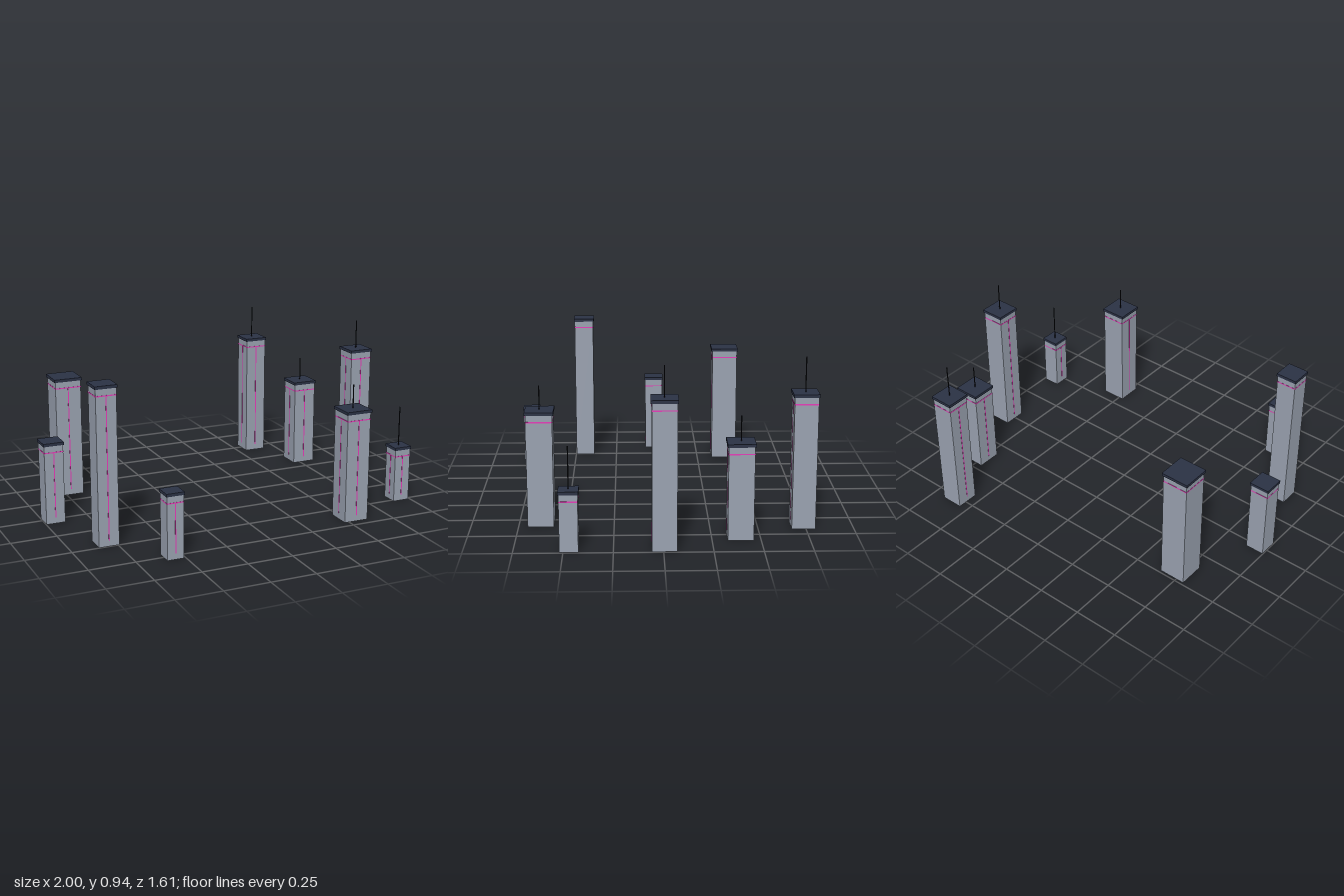
import * as THREE from 'three';

// x, z, cap width, body height, antenna tip (0 = none)
const TOWERS = [
  [0.612, -0.737, 0.134, 0.705, 0.905],
  [0.774, -0.396, 0.144, 0.492, 0.64],
  [0.929, -0.005, 0.137, 0.758, 0.935],
  [0.942, 0.471, 0.103, 0.298, 0.535],
  [0.543, 0.633, 0.149, 0.602, 0.745],
  [-0.555, 0.755, 0.098, 0.337, 0],
  [-0.798, 0.442, 0.12, 0.838, 0],
  [-0.945, 0.015, 0.114, 0.436, 0],
  [-0.723, -0.412, 0.159, 0.668, 0],
];

const CAP = 0.016;        // roof slab thickness
const BAND_DROP = 0.037;  // light band below the body top
const STRIP_BASE = 0.033;

export function createModel() {
  const paint = (color) => new THREE.MeshStandardMaterial({ color });
  const wall = paint(0x9aa2b0), roof = paint(0x2b3245);
  const neon = paint(0xe63cb8), dark = paint(0x15171c);

  const model = new THREE.Group();
  model.name = 'towerRing';

  for (const [x, z, capWidth, height, tip] of TOWERS) {
    const tower = new THREE.Group();
    tower.name = 'tower';
    tower.position.set(x, 0, z);
    model.add(tower);

    const add = (name, geometry, material, px, py, pz) => {
      const mesh = new THREE.Mesh(geometry, material);
      mesh.name = name;
      mesh.position.set(px, py, pz);
      tower.add(mesh);
    };
    const box = (name, material, w, h, d, px, py, pz) =>
      add(name, new THREE.BoxGeometry(w, h, d), material, px, py, pz);

    // Shaft, roof slab and light band
    const width = capWidth * 0.925;
    box('body', wall, width, height, width, 0, height / 2, 0);
    box('roofCap', roof, capWidth, CAP, capWidth, 0, height + CAP / 2, 0);
    const bandY = height - BAND_DROP;
    box('lightBand', neon, width * 1.015, 0.006, width * 1.015, 0, bandY, 0);

    // Vertical light strips
    const length = bandY - STRIP_BASE;
    const stripY = STRIP_BASE + length / 2;
    box('frontStrip', neon, 0.005, length, 0.003, 0, stripY, width / 2);
    if (x > 0) box('sideStrip', neon, 0.003, length, 0.005, -width / 2, stripY, 0);

    // Roof antenna
    if (tip) {
      const base = height + CAP;
      add('antenna', new THREE.CylinderGeometry(0.003, 0.003, tip - base, 6),
        dark, 0, (tip + base) / 2, 0);
    }
  }
  return model;
}
